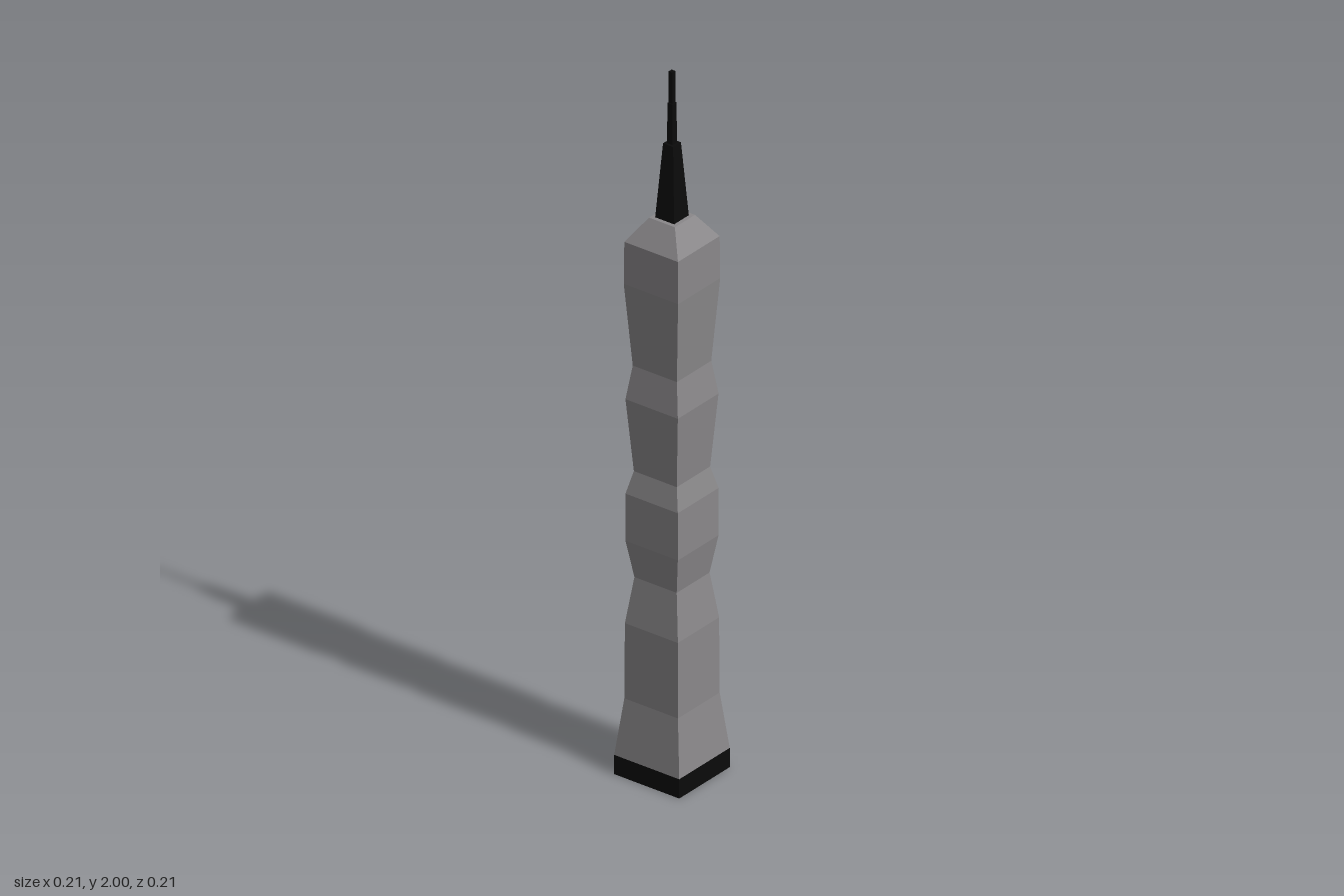
import * as THREE from 'three';

export function createModel() {
  const model = new THREE.Group();

  const stone = new THREE.MeshStandardMaterial({ color: 0x8a888a, flatShading: true });
  stone.name = 'grey stone';
  const black = new THREE.MeshStandardMaterial({ color: 0x0b0b0b, flatShading: true });
  black.name = 'black metal';

  // Square tower section from [half width, height] pairs, listed bottom to top
  function squareTower(name, profile, material) {
    const points = profile.map(([half, y]) => new THREE.Vector2(half * Math.SQRT2, y));
    const mesh = new THREE.Mesh(new THREE.LatheGeometry(points, 4, Math.PI / 4), material);
    mesh.name = name;
    model.add(mesh);
  }

  // Foundation: grey underside with a black band around it
  squareTower('underside', [[0, 0], [0.103, 0]], stone);
  squareTower('baseBand', [[0.103, 0], [0.103, 0.055]], black);

  // Waisted shaft with a chamfered, flat-topped crown
  squareTower('shaft', [
    [0.103, 0.055], [0.085, 0.215], [0.084, 0.43], [0.067, 0.56],
    [0.083, 0.665], [0.083, 0.8], [0.068, 0.863], [0.083, 1.07],
    [0.07, 1.165], [0.086, 1.4], [0.085, 1.52], [0.041, 1.585], [0, 1.585],
  ], stone);

  // Tapered spire and stepped mast
  squareTower('spire', [[0.03, 1.585], [0.016, 1.795], [0, 1.795]], black);
  squareTower('lowerMast', [[0.009, 1.795], [0.008, 1.91], [0, 1.91]], black);
  squareTower('upperMast', [[0.006, 1.91], [0.006, 2], [0, 2]], black);

  return model;
}
